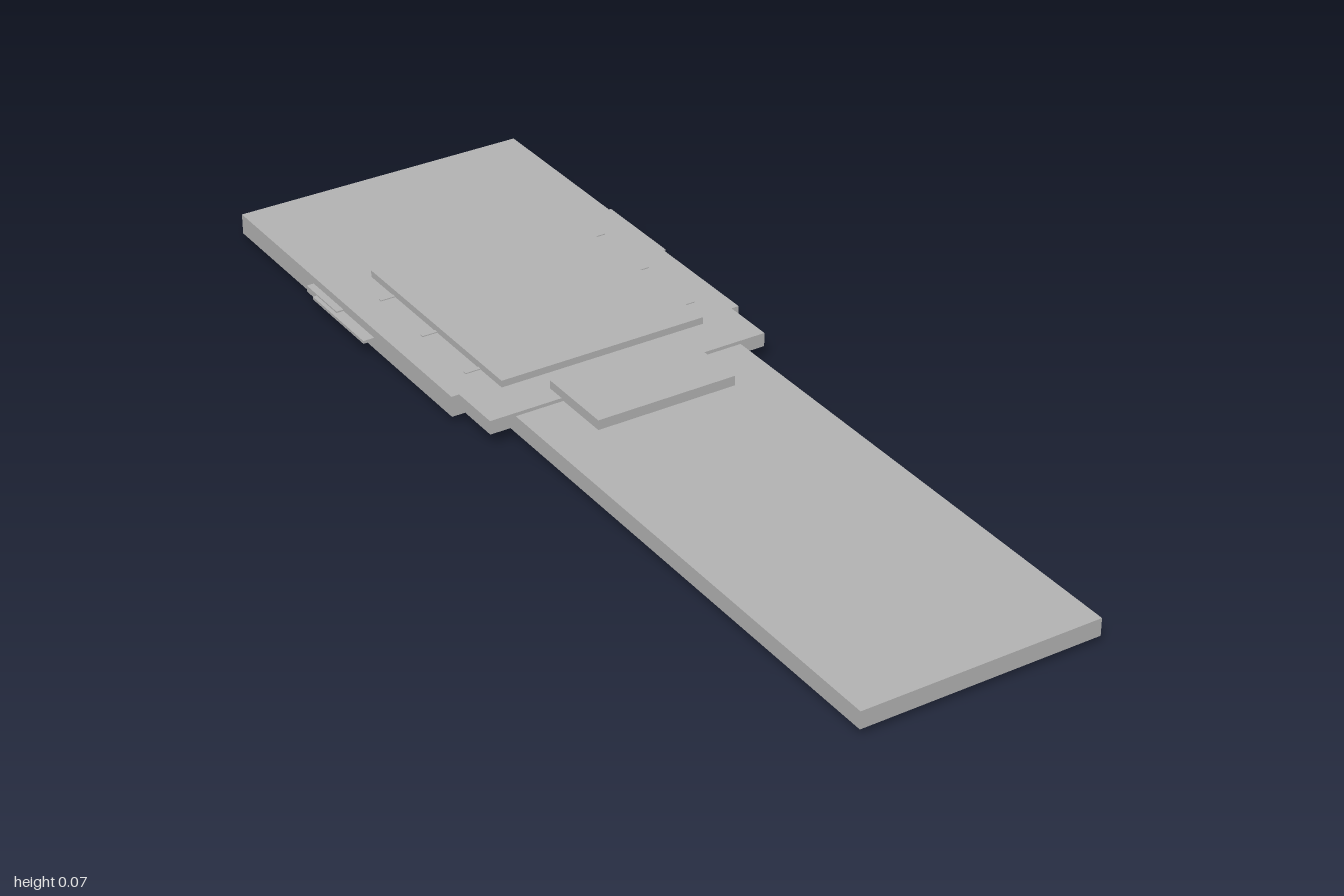
import * as THREE from 'three';

export function createModel() {
  const group = new THREE.Group();
  const grey = new THREE.MeshStandardMaterial({ color: 0xb3b3b3 });
  grey.name = 'grey';

  // Box given by its limits along each axis
  function slab(name, [x0, x1], [y0, y1], [z0, z1]) {
    const mesh = new THREE.Mesh(new THREE.BoxGeometry(x1 - x0, y1 - y0, z1 - z0), grey);
    mesh.position.set((x0 + x1) / 2, (y0 + y1) / 2, (z0 + z1) / 2);
    mesh.name = name;
    group.add(mesh);
  }

  // Long board, wide rear body and its stepped collar
  slab('board', [-0.241, 0.241], [0.014, 0.049], [-0.17, 1]);
  slab('rearBody', [-0.31, 0.31], [0.014, 0.056], [-1, -0.17]);
  slab('collar', [-0.294, 0.294], [0.028, 0.056], [-0.17, -0.06]);

  // Raised plates above and below
  slab('smallPlate', [-0.145, 0.145], [0.053, 0.073], [-0.1, 0.065]);
  slab('topPlate', [-0.217, 0.217], [0.056, 0.07], [-0.64, -0.15]);
  slab('bottomPlate', [-0.217, 0.217], [0, 0.014], [-0.64, -0.15]);

  // Mirrored side details
  for (const [side, s] of [['left', 1], ['right', -1]]) {
    const span = (a, b) => (s > 0 ? [a, b] : [-b, -a]);
    slab(side + 'BottomRail', span(0.222, 0.237), [0.007, 0.014], [-0.6, -0.17]);
    slab(side + 'SideBlock', span(0.31, 0.325), [0.028, 0.041], [-0.7, -0.58]);
    slab(side + 'SideSlider', span(0.31, 0.333), [0.032, 0.038], [-0.66, -0.46]);
    // Thin ticks beside the top plate
    [-0.23, -0.39, -0.55].forEach((z, i) =>
      slab(side + 'Tick' + (i + 1), span(0.217, 0.248), [0.056, 0.058], [z - 0.004, z + 0.004]));
  }
  return group;
}
